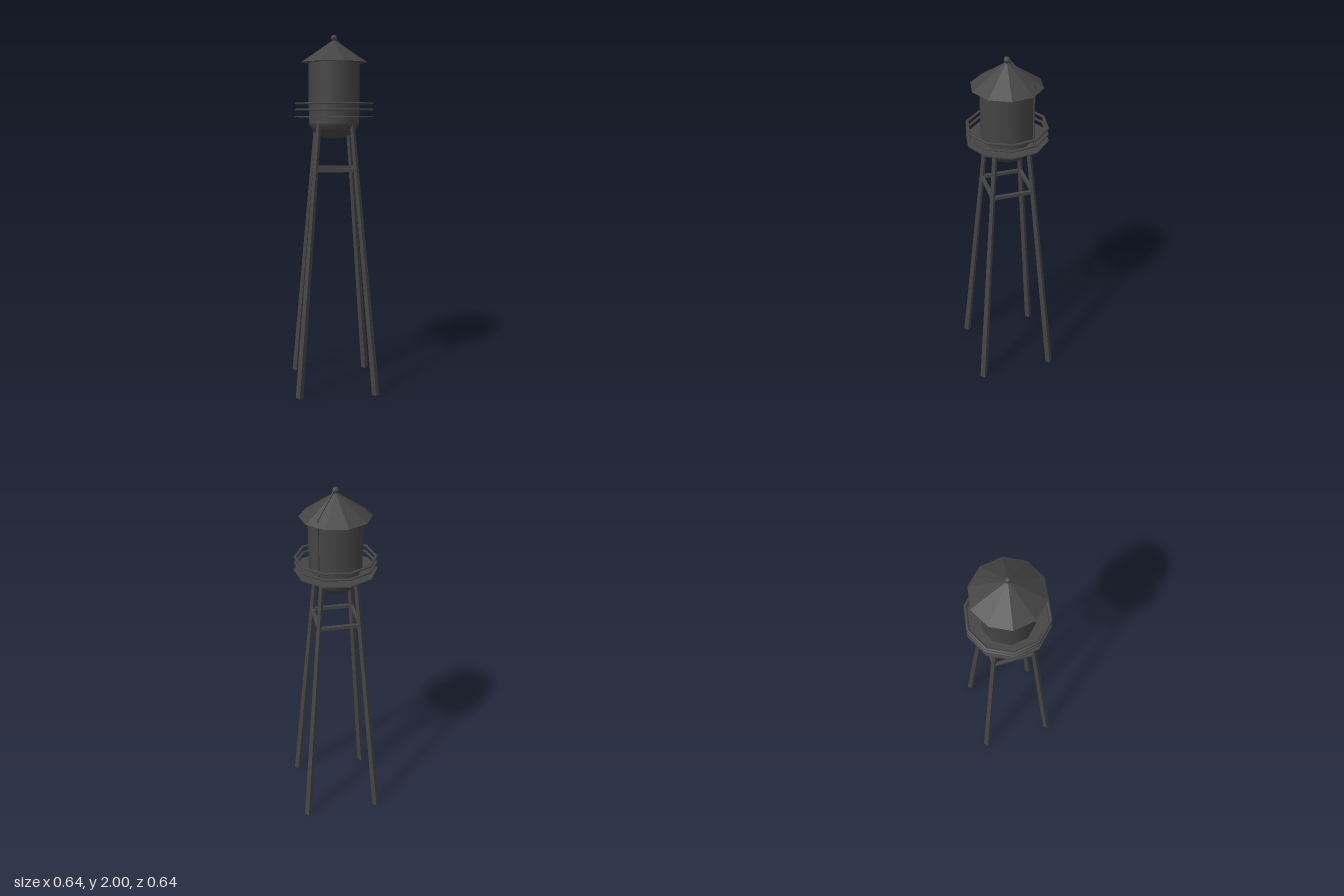
import * as THREE from 'three';

const SIDES = 10;
const smooth = new THREE.MeshStandardMaterial({ color: 0x444444 });
const flat = new THREE.MeshStandardMaterial({ color: 0x444444, flatShading: true });
const open = new THREE.MeshStandardMaterial({ color: 0x444444, side: THREE.DoubleSide });

export function createModel() {
  const model = new THREE.Group();
  model.name = 'waterTower';

  const add = (name, geometry, material, y = 0) => {
    const mesh = new THREE.Mesh(geometry, material);
    mesh.name = name;
    mesh.position.y = y;
    model.add(mesh);
    return mesh;
  };

  // Square beam from a to b, with its own width at each end
  const beam = (name, a, b, widthA, widthB = widthA) => {
    const geometry = new THREE.CylinderGeometry(widthB * Math.SQRT1_2, widthA * Math.SQRT1_2, a.distanceTo(b), 4)
      .rotateY(Math.PI / 4).rotateX(Math.PI / 2);
    const mesh = add(name, geometry, flat);
    mesh.position.copy(a).lerp(b, 0.5);
    mesh.lookAt(b);
  };

  const around = (radius, y, quarter) => new THREE.Vector3(
    radius * Math.cos(quarter * Math.PI / 2), y, radius * Math.sin(quarter * Math.PI / 2));

  // Tank wall and rounded bottom, corners on the x axis
  add('tankWall', new THREE.CylinderGeometry(0.141, 0.141, 0.33, SIDES, 1, true, Math.PI / 2), smooth, 1.685);
  const bowl = [[0, 1.434], [0.05, 1.437], [0.092, 1.456], [0.122, 1.484], [0.137, 1.505], [0.141, 1.522]]
    .map(([r, y]) => new THREE.Vector2(r, y));
  add('tankBottom', new THREE.LatheGeometry(bowl, SIDES, Math.PI / 2), open);

  // Conical roof with a ball on top
  add('roof', new THREE.ConeGeometry(0.187, 0.125, SIDES, 1, false, Math.PI / 2), flat, 1.9125);
  add('finial', new THREE.SphereGeometry(0.017, 8, 6), smooth, 1.983);

  // Walkway with two rails
  add('walkway', new THREE.CylinderGeometry(0.22, 0.22, 0.006, SIDES, 1, false, Math.PI / 2), flat, 1.556);
  for (const y of [1.594, 1.628]) {
    const rail = new THREE.TorusGeometry(0.211, 0.009, 6, SIDES).scale(1, 1, 0.65).rotateX(Math.PI / 2);
    add('rail', rail, smooth, y);
  }

  // Four splayed legs, braced in a square near the top
  for (let i = 0; i < 4; i++) {
    beam('leg', around(0.304, 0.002, i), around(0.126, 1.54, i), 0.03, 0.019);
    beam('brace', around(0.158, 1.264, i), around(0.158, 1.264, i + 1), 0.018);
  }

  // Thin pipe over the roof and down the back
  const top = new THREE.Vector3(0, 1.985, -0.01);
  const bend = new THREE.Vector3(0, 1.88, -0.154);
  beam('roofPipe', top, bend, 0.006);
  beam('downPipe', bend, new THREE.Vector3(0, 1.556, -0.154), 0.006);

  return model;
}
